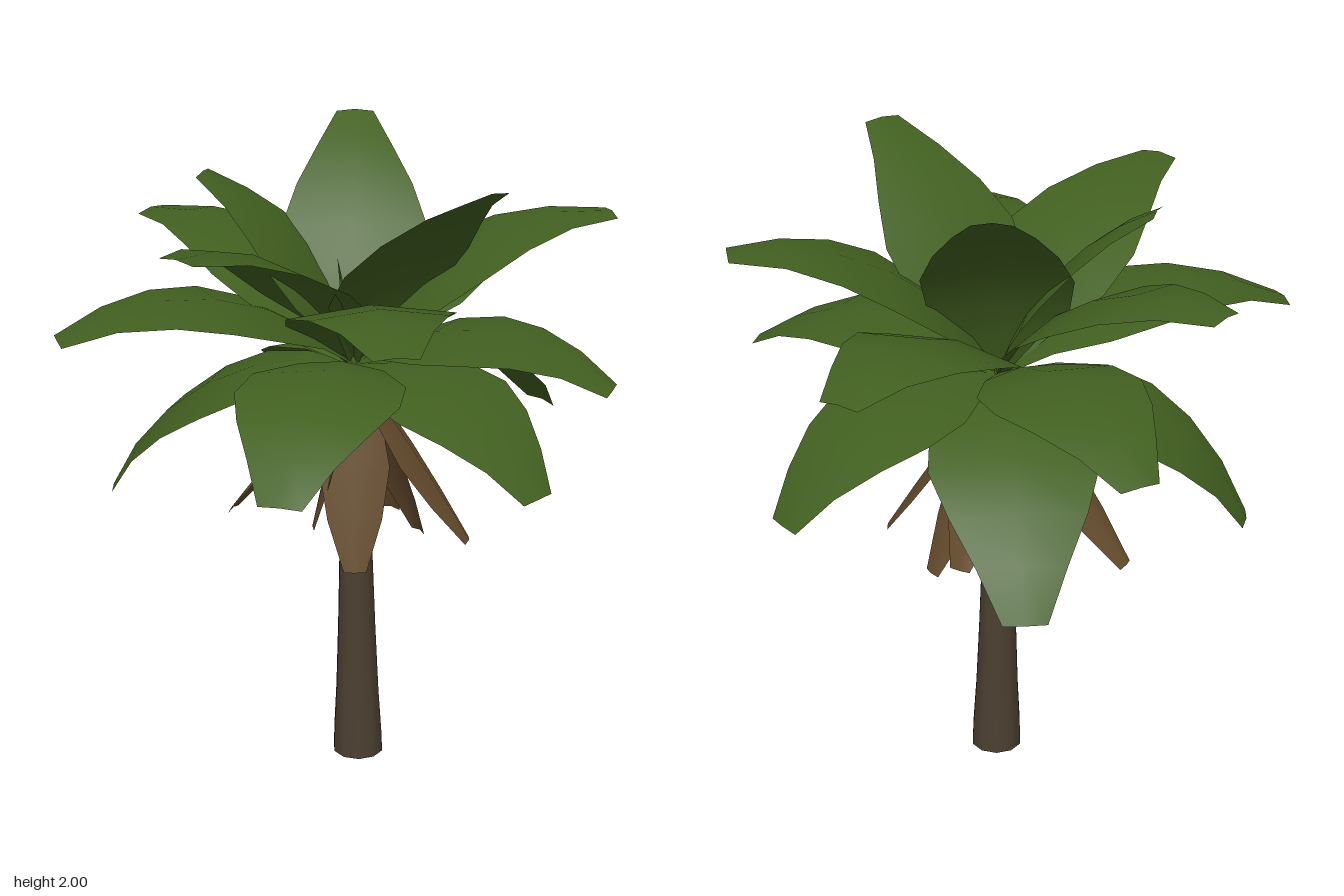
import * as THREE from 'three';

const CROWN = new THREE.Vector3(0.04, 1.33, -0.015);

// Piecewise linear lookup in a list of [t, value] pairs
function sample(profile, t) {
  for (let i = 1; i < profile.length; i++) {
    const [t0, v0] = profile[i - 1], [t1, v1] = profile[i];
    if (t <= t1) return v0 + (v1 - v0) * (t - t0) / (t1 - t0);
  }
  return profile[profile.length - 1][1];
}

// Leaf blade along a circular arc from the crown to a tip.
// bend is the turn of the arc in degrees, fold drops the two edges of the blade
function leafGeometry(tip, bend, profile, widthScale, fold, rows) {
  const dx = tip[0] - CROWN.x, dz = tip[2] - CROWN.z, h = tip[1] - CROWN.y;
  const reach = Math.hypot(dx, dz);
  const out = new THREE.Vector3(dx / reach, 0, dz / reach);
  const side = new THREE.Vector3(out.z, 0, -out.x);
  const turn = THREE.MathUtils.degToRad(bend);
  const start = Math.atan2(h, reach) + turn / 2;
  const radius = Math.hypot(reach, h) / (2 * Math.sin(turn / 2));
  const pos = [], index = [];
  for (let i = 0; i <= rows; i++) {
    const t = i / rows, w = sample(profile, t) * widthScale;
    const pitch = start - turn * t;
    const up = new THREE.Vector3(0, Math.cos(pitch), 0).addScaledVector(out, -Math.sin(pitch));
    const mid = CROWN.clone().addScaledVector(out, radius * (Math.sin(start) - Math.sin(pitch)));
    mid.y += radius * (Math.cos(pitch) - Math.cos(start));
    for (const s of [-1, 0, 1]) {
      const p = mid.clone().addScaledVector(side, s * w).addScaledVector(up, -Math.abs(s) * w * fold);
      pos.push(p.x, p.y, p.z);
    }
    if (i < rows) {
      for (let j = 0; j < 2; j++) {
        const a = i * 3 + j, b = a + 1, c = a + 3, d = a + 4;
        index.push(a, b, d, a, d, c);
      }
    }
  }
  const g = new THREE.BufferGeometry();
  g.setAttribute('position', new THREE.Float32BufferAttribute(pos, 3));
  g.setIndex(index);
  g.computeVertexNormals();
  return g;
}

export function createModel() {
  const green = new THREE.MeshStandardMaterial({ color: 0x426020, side: THREE.DoubleSide });
  green.name = 'leaf green';
  const brown = new THREE.MeshStandardMaterial({ color: 0x664d2e, side: THREE.DoubleSide });
  brown.name = 'dry leaf brown';
  const bark = new THREE.MeshStandardMaterial({ color: 0x4b3f30 });
  bark.name = 'bark brown';

  const model = new THREE.Group();
  model.name = 'palmTree';
  const add = (parent, name, geometry, material) => {
    const mesh = new THREE.Mesh(geometry, material);
    mesh.name = name;
    parent.add(mesh);
  };

  // Trunk: flared at the foot, leaning slightly towards the crown
  const outline = [[0.082, 0], [0.08, 0.07], [0.071, 0.22], [0.062, 0.45], [0.053, 0.75], [0.046, 1.05], [0.042, 1.2], [0, 1.33]];
  const trunk = new THREE.LatheGeometry(outline.map(([r, y]) => new THREE.Vector2(r, y)), 10);
  const p = trunk.attributes.position;
  for (let i = 0; i < p.count; i++) {
    const k = p.getY(i) / 1.33;
    p.setX(i, p.getX(i) + 0.056 - 0.016 * k);
    p.setZ(i, p.getZ(i) - 0.015 * k);
  }
  add(model, 'trunk', trunk, bark);
  const foot = new THREE.CircleGeometry(0.082, 10).rotateX(Math.PI / 2).rotateY(Math.PI / 10).translate(0.056, 0, 0);
  add(model, 'trunkFoot', foot, bark);

  // Fronds: tip x, y, z, bend and width scale
  const frondWidth = [[0, 0.02], [0.167, 0.13], [0.333, 0.235], [0.5, 0.25], [0.667, 0.2], [0.833, 0.13], [1, 0.065]];
  const fronds = new THREE.Group();
  fronds.name = 'fronds';
  const tips = [
    [-0.03, 0.9, -0.82, 76, 1], [-0.355, 1.27, -0.69, 76, 1], [-0.595, 1.7, -0.49, 72, 1],
    [-0.72, 0.89, -0.135, 76, 1], [-0.845, 1.49, 0.215, 78, 1], [-0.47, 1.84, 0.58, 68, 1],
    [-0.195, 1.17, 0.75, 76, 1], [0.125, 1.63, 0.815, 80, 1], [0.565, 1.08, 0.49, 76, 1],
    [0.8, 1.34, 0.275, 78, 1], [0.835, 1.77, -0.15, 72, 1], [0.68, 1.04, -0.47, 76, 1],
    [0.485, 1.53, -0.7, 76, 1],
    // upright inner fronds
    [0.06, 2.0, -0.545, 52, 0.9], [0.405, 1.99, 0.47, 52, 0.95], [-0.415, 1.9, -0.16, 52, 0.87],
  ];
  tips.forEach((t, i) => add(fronds, 'frond' + (i + 1), leafGeometry(t, t[3], frondWidth, t[4], 0.13, 6), green));
  model.add(fronds);

  // Young unopened leaf in the middle of the crown
  const spear = new THREE.ConeGeometry(0.025, 0.34, 5).translate(0, 0.17, 0);
  spear.rotateZ(0.15).translate(CROWN.x, CROWN.y, CROWN.z);
  add(model, 'spearLeaf', spear, green);

  // Skirt of dry hanging leaves
  const dryWidth = [[0, 0.02], [0.3, 0.095], [0.5, 0.11], [0.75, 0.085], [1, 0.035]];
  const skirt = new THREE.Group();
  skirt.name = 'drySkirt';
  const dryTips = [
    [0.04, 0.69, 0.14], [0.4, 0.77, 0.07], [0.26, 0.71, -0.15],
    [0.17, 0.76, -0.23], [-0.09, 0.78, -0.03], [-0.35, 0.77, -0.21],
  ];
  dryTips.forEach((t, i) => add(skirt, 'dryLeaf' + (i + 1), leafGeometry(t, 4, dryWidth, 1, 0.25, 4), brown));
  model.add(skirt);

  return model;
}
